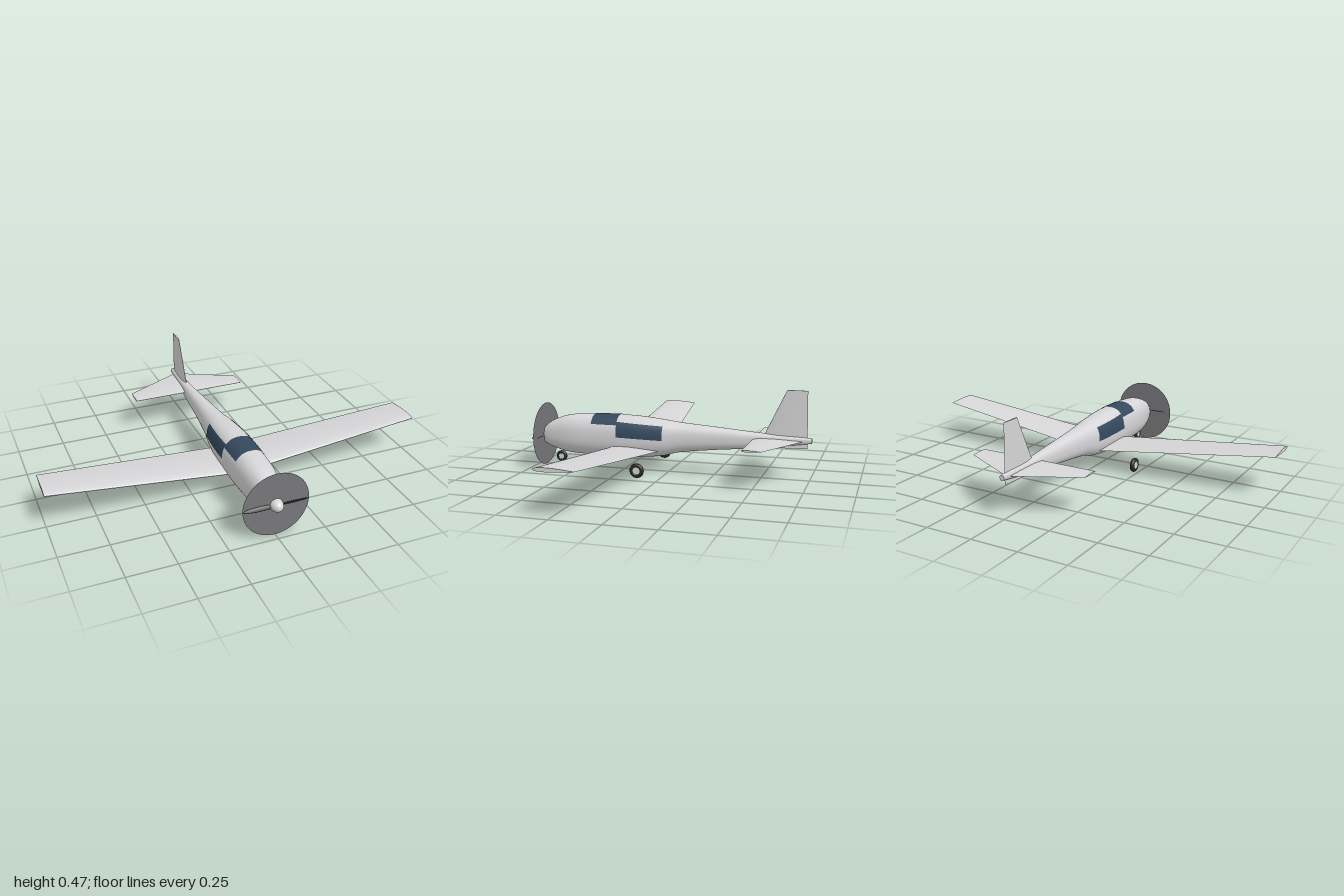
import * as THREE from 'three';
import { mergeVertices } from 'three/addons/utils/BufferGeometryUtils.js';

const material = (name, color, extra = {}) =>
  Object.assign(new THREE.MeshStandardMaterial({ color, ...extra }), { name });

// Surface from f(u, v), front face along du x dv
function grid(nu, nv, f, weld = false) {
  const pos = [], index = [];
  for (let j = 0; j <= nv; j++) {
    for (let i = 0; i <= nu; i++) pos.push(...f(i / nu, j / nv));
  }
  for (let j = 0; j < nv; j++) {
    for (let i = 0; i < nu; i++) {
      const a = j * (nu + 1) + i, b = a + 1, c = a + nu + 1, d = c + 1;
      index.push(a, b, d, a, d, c);
    }
  }
  let g = new THREE.BufferGeometry();
  g.setAttribute('position', new THREE.Float32BufferAttribute(pos, 3));
  g.setIndex(index);
  if (weld) g = mergeVertices(g, 1e-5);
  g.computeVertexNormals();
  return g;
}

// Fuselage stations: z, bottom y, top y, half width
const STATIONS = [
  [-0.757, 0.195, 0.223, 0.012], [-0.463, 0.155, 0.240, 0.031],
  [-0.260, 0.135, 0.256, 0.045], [-0.057, 0.110, 0.271, 0.064],
  [0.024, 0.088, 0.281, 0.077], [0.187, 0.070, 0.295, 0.090],
  [0.350, 0.069, 0.296, 0.091], [0.512, 0.073, 0.289, 0.086],
  [0.593, 0.081, 0.277, 0.074], [0.675, 0.104, 0.244, 0.053],
  [0.710, 0.120, 0.215, 0.037],
];
const POWER = 2.4;

// Smooth interpolation between stations
function section(z) {
  const S = STATIONS, last = S.length - 1;
  let i = 0;
  while (i < last - 1 && z > S[i + 1][0]) i++;
  const h = S[i + 1][0] - S[i][0], t = (z - S[i][0]) / h;
  const slope = (k, c) => {
    const p = S[Math.max(k - 1, 0)], q = S[Math.min(k + 1, last)];
    return (q[c] - p[c]) / (q[0] - p[0]);
  };
  const value = (c) => (2 * t ** 3 - 3 * t * t + 1) * S[i][c] + (3 * t * t - 2 * t ** 3) * S[i + 1][c]
    + h * ((t ** 3 - 2 * t * t + t) * slope(i, c) + (t ** 3 - t * t) * slope(i + 1, c));
  const bottom = value(1), top = value(2);
  return { cy: (top + bottom) / 2, ry: (top - bottom) / 2, rx: value(3) };
}

// Point on the rounded hull at angle a, optionally lifted off the skin
function hull(a, z, lift = 0) {
  const { cy, ry, rx } = section(z), c = Math.cos(a), s = Math.sin(a);
  const round = (v) => Math.sign(v) * Math.abs(v) ** (2 / POWER);
  return [(rx + lift) * round(c), cy + (ry + lift) * round(s), z];
}

// Hull angle at a given height
function angleAt(y, z) {
  const { cy, ry } = section(z);
  const v = THREE.MathUtils.clamp((y - cy) / ry, -1, 1);
  return Math.asin(Math.sign(v) * Math.abs(v) ** (POWER / 2));
}

// Aerofoil loft through sections { le: [x, y, z], chord, thick }
// axis is the thickness direction, with the loop running over its positive side first
function foil(sections, axis) {
  const point = (s, c, side) => {
    const x = 1 - c;
    const t = 5 * s.thick * (0.2969 * Math.sqrt(x) - 0.126 * x - 0.3516 * x * x + 0.2843 * x ** 3 - 0.1036 * x ** 4);
    return [s.le[0] + axis[0] * side * t, s.le[1] + axis[1] * side * t, s.le[2] - s.chord * x];
  };
  const ease = (c) => Math.sin(c * Math.PI / 2);
  const n = sections.length - 1;
  const skins = [];
  for (let k = 0; k < n; k++) {
    skins.push(grid(36, 1, (u, v) => {
      const c = u <= 0.5 ? u * 2 : 2 - u * 2;
      return point(sections[k + v], ease(c), u <= 0.5 ? 1 : -1);
    }));
  }
  const cap = (s, sign) => grid(18, 1, (u, v) => point(s, ease(u), (v * 2 - 1) * sign));
  return [...skins, cap(sections[0], 1), cap(sections[n], -1)];
}

export function createModel() {
  const model = new THREE.Group();
  model.name = 'lightAircraft';
  const paint = material('body paint', 0xd6d6d8);
  const glass = material('dark glass', 0x34495e, { side: THREE.DoubleSide });
  const discGrey = material('propeller blur grey', 0x77777a, { side: THREE.DoubleSide });
  const bladeGrey = material('blade grey', 0x38383b);
  const rubber = material('tyre rubber', 0x262628);

  const add = (name, geometry, mat, parent = model) => {
    const m = new THREE.Mesh(geometry, mat);
    m.name = name;
    parent.add(m);
    return m;
  };
  const group = (name) => {
    const g = new THREE.Group();
    g.name = name;
    model.add(g);
    return g;
  };

  // Fuselage with end caps
  const zTail = STATIONS[0][0], zNose = STATIONS[STATIONS.length - 1][0];
  const around = (u) => -Math.PI / 2 + u * Math.PI * 2;
  add('fuselage', grid(48, 72, (u, v) => hull(around(u), zTail + (zNose - zTail) * v), true), paint);
  const endCap = (z, inward) => grid(48, 1, (u, v) => {
    const r = inward ? 1 - v : v, p = hull(around(u), z), cy = section(z).cy;
    return [p[0] * r, cy + (p[1] - cy) * r, z];
  });
  add('noseCap', endCap(zNose, true), paint);
  add('tailCap', endCap(zTail, false), paint);

  // Windscreen and side windows, laid just over the skin
  add('windscreen', grid(28, 12, (u, v) => {
    const z = 0.27 + 0.145 * v, a = angleAt(0.25, z);
    return hull(a + (Math.PI - 2 * a) * u, z, 0.002);
  }), glass);
  for (const side of [1, -1]) {
    add(side > 0 ? 'leftWindow' : 'rightWindow', grid(12, 20, (u, v) => {
      const z = 0.018 + 0.252 * v;
      const lo = angleAt(0.18 + 0.008 * v, z), hi = angleAt(0.253 + 0.014 * v, z);
      const a = lo + (hi - lo) * (side > 0 ? u : 1 - u);
      return hull(side > 0 ? a : Math.PI - a, z, 0.002);
    }), glass);
  }

  // Wing, tailplane and fin
  const spanwise = (half, root, tip) => [
    { ...tip, le: [-half, tip.y, tip.z] }, { ...root, le: [0, root.y, root.z] }, { ...tip, le: [half, tip.y, tip.z] },
  ];
  const surfaces = {
    wing: foil(spanwise(1, { y: 0.112, z: 0.317, chord: 0.282, thick: 0.036 },
      { y: 0.22, z: 0.317, chord: 0.197, thick: 0.02 }), [0, 1]),
    tailplane: foil(spanwise(0.32, { y: 0.205, z: -0.455, chord: 0.265, thick: 0.018 },
      { y: 0.205, z: -0.455, chord: 0.1, thick: 0.009 }), [0, 1]),
    fin: foil([{ le: [0, 0.166, -0.482], chord: 0.253, thick: 0.022 },
      { le: [0, 0.465, -0.625], chord: 0.105, thick: 0.009 }], [-1, 0]),
  };
  for (const [name, parts] of Object.entries(surfaces)) {
    const g = group(name);
    parts.forEach((geometry) => add(name + 'Panel', geometry, paint, g));
  }

  // Propeller: spinner, blades and blur disc
  const prop = group('propeller');
  prop.position.set(0, 0.171, 0.712);
  add('spinner', new THREE.SphereGeometry(0.033, 28, 18), paint, prop).scale.z = 1.4;
  add('blurDisc', new THREE.CircleGeometry(0.171, 64), discGrey, prop);
  for (const side of [1, -1]) {
    const blade = add('blade', new THREE.SphereGeometry(1, 20, 12), bladeGrey, prop);
    blade.scale.set(0.085, 0.012, 0.003);
    blade.position.set(side * 0.085, 0, 0.006);
    blade.rotation.x = side * 0.6;
  }

  // Wheels
  const wheel = (name, x, y, z, r, halfWidth) => {
    const g = group(name);
    g.position.set(x, y, z);
    g.rotation.y = Math.PI / 2;
    add('tyre', new THREE.TorusGeometry(r - halfWidth, halfWidth, 14, 36), rubber, g);
    add('hub', new THREE.CylinderGeometry(r * 0.62, r * 0.62, halfWidth * 1.6, 28), paint, g).rotation.x = Math.PI / 2;
  };
  wheel('noseWheel', 0, 0.047, 0.622, 0.031, 0.01);
  wheel('leftMainWheel', 0.245, 0.053, 0.1, 0.038, 0.012);
  wheel('rightMainWheel', -0.245, 0.053, 0.1, 0.038, 0.012);

  return model;
}
